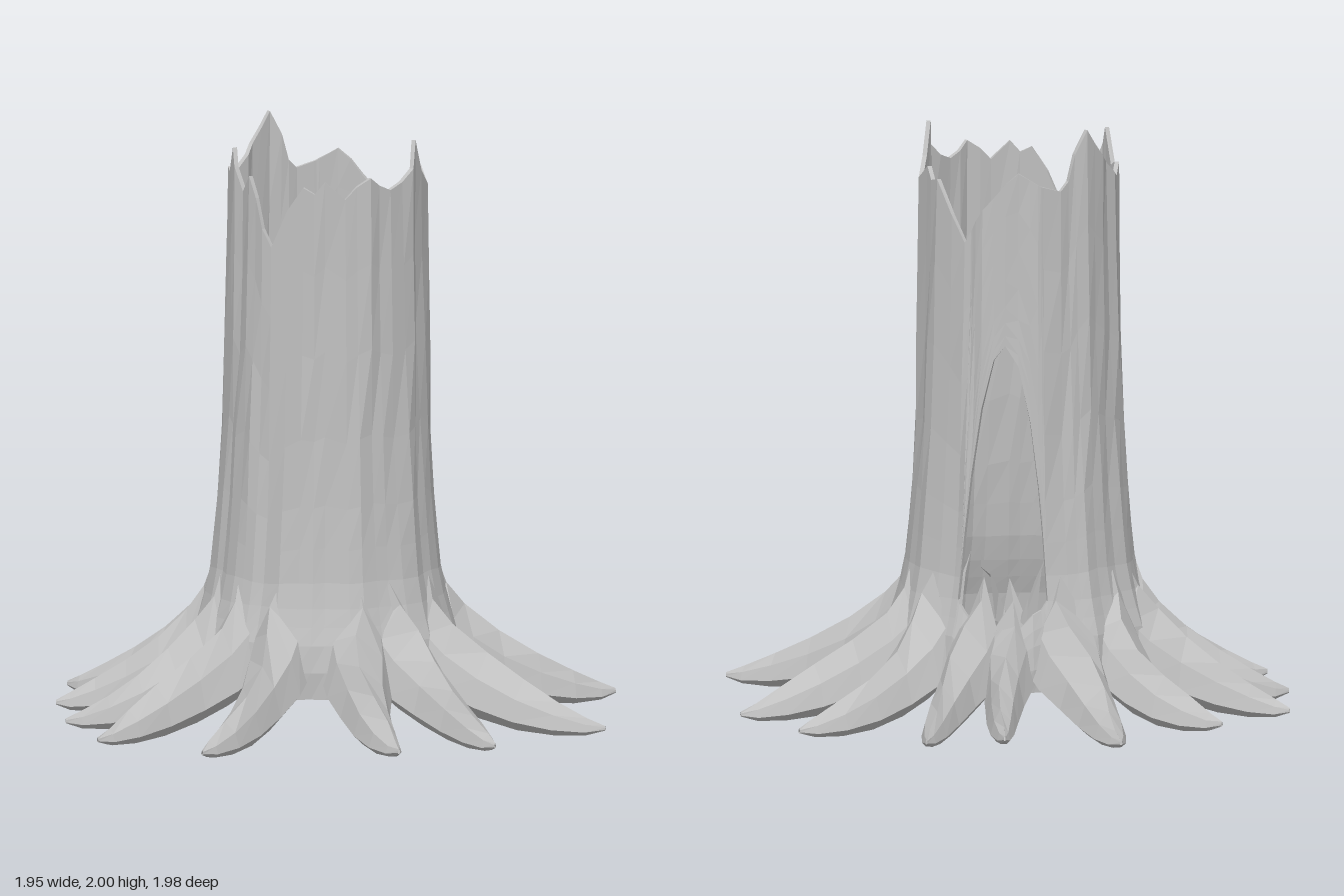
import * as THREE from 'three';

const CX = -0.06, CZ = -0.04; // trunk axis
const rad = THREE.MathUtils.degToRad;

// piecewise linear lookup in [key, value] pairs
function lookup(pairs, x) {
  if (x <= pairs[0][0]) return pairs[0][1];
  for (let i = 1; i < pairs.length; i++) {
    const [x0, y0] = pairs[i - 1], [x1, y1] = pairs[i];
    if (x <= x1) return y0 + (y1 - y0) * (x - x0) / (x1 - x0);
  }
  return pairs[pairs.length - 1][1];
}

// skin a row of equal-sized cross-sections
function loft(rings, closed = true) {
  const n = rings[0].length, pos = [], idx = [];
  rings.forEach(r => r.forEach(p => pos.push(p.x, p.y, p.z)));
  for (let i = 0; i < rings.length - 1; i++) {
    for (let j = 0; j < (closed ? n : n - 1); j++) {
      const k = (j + 1) % n, a = i * n + j, b = i * n + k;
      idx.push(a, b, a + n, b, b + n, a + n);
    }
  }
  const g = new THREE.BufferGeometry();
  g.setAttribute('position', new THREE.Float32BufferAttribute(pos, 3));
  g.setIndex(idx);
  g.computeVertexNormals();
  return g;
}

// broken rim: [angle, height], 0 = left (+x), 90 = front (+z)
const RIM = [[0, 1.84], [10, 1.82], [18, 1.84], [25, 1.87], [33, 1.84], [40, 1.8], [52, 1.86], [58, 1.82],
  [65, 1.84], [75, 1.76], [85, 1.63], [91, 1.69], [97, 1.79], [103, 1.86], [112, 1.8], [118, 1.88], [123, 1.94],
  [135, 1.81], [143, 1.83], [150, 1.85], [158, 1.81], [165, 1.83], [172, 1.87], [180, 1.9], [188, 1.95], [195, 2.0],
  [202, 1.92], [207, 1.83], [213, 1.8], [225, 1.82], [240, 1.87], [250, 1.8], [262, 1.72], [272, 1.62], [282, 1.71],
  [295, 1.82], [303, 1.81], [310, 1.85], [322, 1.8], [335, 1.86], [345, 1.97], [352, 1.88], [360, 1.84]];
// trunk radius by height
const PROFILE = [[0.1, 0.45], [0.2, 0.455], [0.3, 0.44], [0.4, 0.408], [0.5, 0.387], [0.7, 0.367], [1, 0.348], [1.4, 0.335], [1.8, 0.329], [2, 0.329]];
const HOLE = { mid: 246, half: 22, corner: 0.42, top: 1.28 };

const rim = a => lookup(RIM, a);
function trunkPoint(a, y, inset) {
  const t = rad(a);
  const bark = 0.006 * Math.sin(11 * t + 1.5 * y) + 0.005 * Math.sin(23 * t + 2.3 * Math.sin(3 * y));
  const r = lookup(PROFILE, y) + bark - inset;
  return new THREE.Vector3(CX + r * Math.cos(t), y, CZ + r * Math.sin(t));
}

// ring of thin trunk wall between two heights that vary with the angle
function wall(angles, lo, hi, steps) {
  return loft(angles.map(a => {
    const ys = steps.map(s => lo(a) + (hi(a) - lo(a)) * s);
    return [...ys.map(y => trunkPoint(a, y, 0)), ...ys.reverse().map(y => trunkPoint(a, y, 0.015))];
  }));
}

// tips of the roots: [x, z, sideways bend, girth]
const ROOTS = [
  [0.97, -0.25, 0.03, 1.1], [0.89, 0.24, -0.03, 1], [0.71, 0.53, 0.02, 1.05], [0.21, 0.96, -0.02, 1],
  [-0.22, 0.985, 0.02, 1], [-0.53, 0.77, -0.03, 0.95], [-0.78, 0.51, 0.02, 1], [-0.98, 0.2, -0.03, 1],
  [-0.92, -0.13, 0.04, 1.1], [-0.82, -0.605, -0.02, 1.15], [-0.45, -0.75, 0.02, 0.8], [-0.26, -0.94, 0.03, 0.9],
  [0.21, -0.995, -0.03, 1.15], [0.54, -0.84, 0.02, 1.15], [0.51, -0.37, 0.01, 0.4]];
// along a root: [distance, half width, top, bottom]
const ROOT_SECTIONS = [[0, 0.06, 0.5, 0.14], [0.05, 0.115, 0.425, 0.12], [0.16, 0.108, 0.345, 0.085], [0.34, 0.082, 0.255, 0.04],
  [0.55, 0.066, 0.175, 0.01], [0.75, 0.05, 0.11, 0], [0.91, 0.027, 0.062, 0.005], [1, 0.004, 0.038, 0.022]];

function root([x, z, bend, girth], seed) {
  const dx = x - CX, dz = z - CZ, len = Math.hypot(dx, dz), c = dx / len, s = dz / len;
  return loft(ROOT_SECTIONS.map(([t, w, top, bottom], i) => {
    const r = 0.385 + (len - 0.385) * t;
    const off = bend * Math.sin(Math.PI * t), h = (top - bottom) * (girth < 0.5 ? 0.75 : 1);
    const ridge = 0.25 * Math.sin(seed * 2.1 + i * 1.3);
    // ridge, shoulders and flat underside
    return [[-1, 0.22], [-0.7, 0.68], [ridge, 1], [0.7, 0.64], [1, 0.2], [0.5, 0], [-0.5, 0]].map(([u, v]) => {
      const k = off + u * w * girth;
      return new THREE.Vector3(CX + c * r - s * k, bottom + h * v, CZ + s * r + c * k);
    });
  }));
}

export function createModel() {
  const group = new THREE.Group();
  const wood = new THREE.MeshStandardMaterial({ color: 0xc0c0c0, flatShading: true, side: THREE.DoubleSide });
  wood.name = 'grey wood';
  const add = (name, geometry, parent = group) => {
    const m = new THREE.Mesh(geometry, wood);
    m.name = name;
    parent.add(m);
    return m;
  };

  // hollow trunk in two rings whose facing edges part to form the pointed opening
  const across = [-1, -0.985, -0.94, -0.85, -0.65, -0.35, 0, 0.3, 0.6, 0.82, 0.94, 0.985, 1].map(u => HOLE.mid + u * HOLE.half);
  const around = [...RIM.map(k => k[0]).filter(a => Math.abs(a - HOLE.mid) > HOLE.half), ...across].sort((a, b) => a - b);
  const inside = a => 1 - Math.min(1, Math.abs(a - HOLE.mid) / HOLE.half) ** 2;
  const arch = a => HOLE.corner + (HOLE.top - HOLE.corner) * inside(a) ** 0.65;
  const sill = a => HOLE.corner - inside(a) * (0.1 + 0.03 * Math.sin(a * 1.7));
  add('trunk', wall(around, arch, rim, [0, 0.06, 0.14, 0.24, 0.4, 0.6, 0.8, 1]));
  add('trunkBase', wall(around, () => 0.12, sill, [0, 0.3, 0.6, 0.8, 1]));

  // splinters on the sill
  const splinters = new THREE.Group();
  splinters.name = 'splinters';
  group.add(splinters);
  [[236, 0.41, 0.16], [244, 0.4, 0.12], [256, 0.41, 0.18]].forEach(([a, r, h], i) => {
    const m = add('splinter', new THREE.ConeGeometry(0.03, h, 4), splinters);
    m.position.set(CX + r * Math.cos(rad(a)), 0.28 + h / 2, CZ + r * Math.sin(rad(a)));
    m.rotation.set(0.2 * Math.sin(i * 2), i, 0.25 * Math.cos(i * 3));
  });

  // floor with a knot hole
  const floorRings = [];
  for (let i = 0; i <= 16; i++) {
    const t = i / 16 * Math.PI * 2;
    floorRings.push([[CX, CZ, 0.445, 0.12], [CX, CZ, 0.28, 0.155 + 0.015 * Math.sin(3 * t)], [-0.14, -0.14, 0.056, 0.175]]
      .map(([x, z, r, y]) => new THREE.Vector3(x + r * Math.cos(t), y, z + r * Math.sin(t))));
  }
  add('floor', loft(floorRings, false));

  // spreading roots
  const roots = new THREE.Group();
  roots.name = 'roots';
  group.add(roots);
  ROOTS.forEach((r, i) => add('root', root(r, i), roots));
  return group;
}
